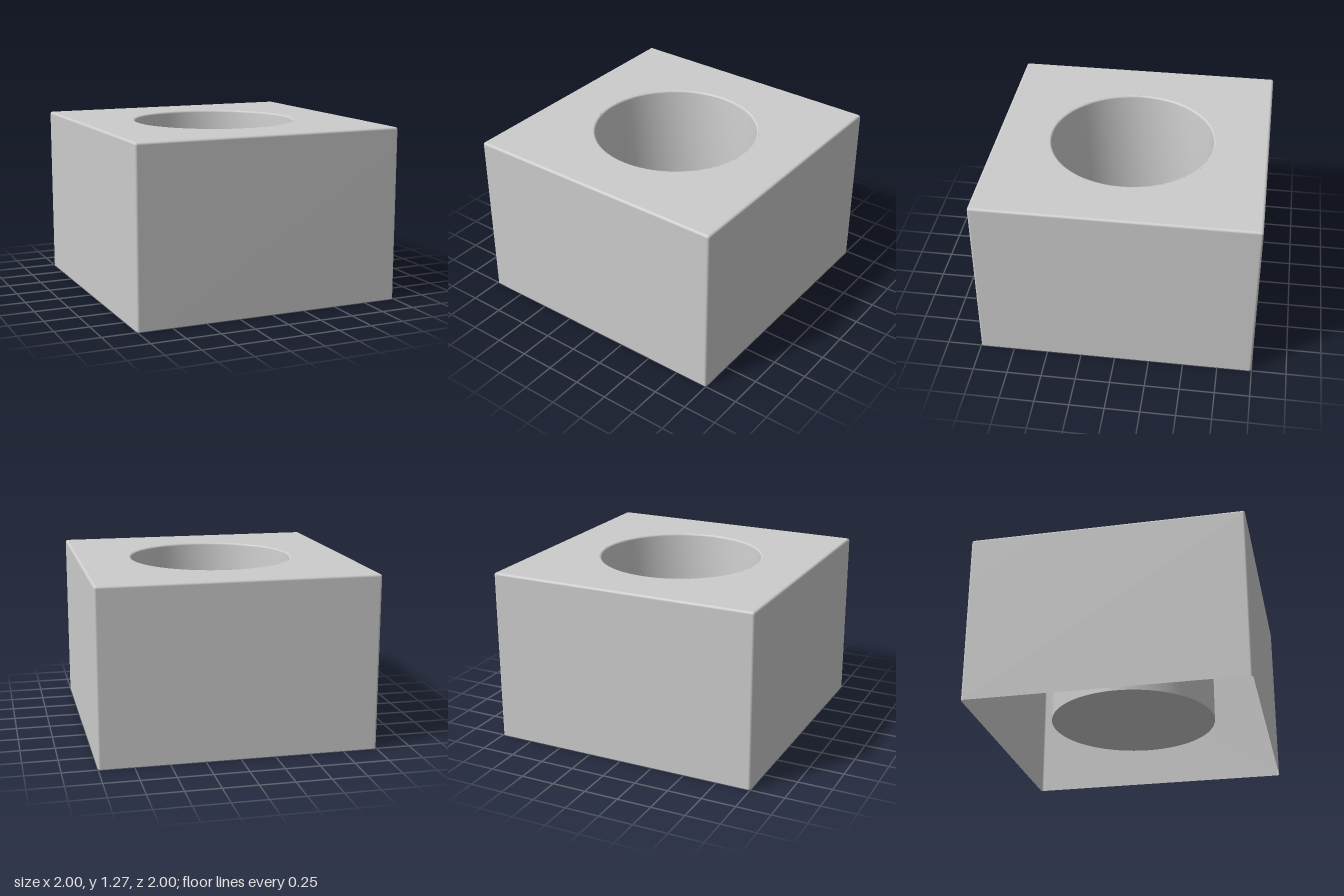
import * as THREE from 'three';
import { toCreasedNormals } from 'three/addons/utils/BufferGeometryUtils.js';

const HEIGHT = 1.27;
const ROUND = 0.018;      // edge rounding of the housing
const HOLE = 0.612;       // opening radius, also the outer radius of the cup
const INNER = 0.597;      // inner radius of the cup
const CUP_BOTTOM = 0.15;
const SEGMENTS = 64;
const STEPS = 4;          // facets per rounded edge

const material = new THREE.MeshStandardMaterial({ color: 0xcccccc, side: THREE.DoubleSide });

// Points of a square with rounded corners, inset from the full outline
function squareRing(inset, y) {
  const ring = [];
  const c = 1 - ROUND, r = ROUND - inset;
  for (let k = 0; k < 4; k++) {
    const mid = (k + 0.5) * Math.PI / 2;
    const cx = Math.sign(Math.cos(mid)) * c, cz = Math.sign(Math.sin(mid)) * c;
    for (let i = 0; i <= STEPS; i++) {
      const a = (k + i / STEPS) * Math.PI / 2;
      ring.push([cx + r * Math.cos(a), y, cz + r * Math.sin(a)]);
    }
  }
  return ring;
}

// Joins closed rings, listed from bottom to top, into one smooth surface
function loft(rings) {
  const n = rings[0].length, index = [];
  for (let j = 0; j < rings.length - 1; j++) {
    for (let i = 0; i < n; i++) {
      const a = j * n + i, b = j * n + (i + 1) % n;
      index.push(a, a + n, b, b, a + n, b + n);
    }
  }
  const geometry = new THREE.BufferGeometry();
  geometry.setAttribute('position', new THREE.Float32BufferAttribute(rings.flat(2), 3));
  geometry.setIndex(index);
  geometry.computeVertexNormals();
  return geometry;
}

function addPart(group, name, geometry) {
  const mesh = new THREE.Mesh(geometry, material);
  mesh.name = name;
  group.add(mesh);
}

export function createModel() {
  const model = new THREE.Group();
  model.name = 'cupHolderBlock';

  // Thin side walls, open below, rounding over into the top
  const rings = [squareRing(0, 0)];
  for (let i = 0; i <= STEPS; i++) {
    const a = i / STEPS * Math.PI / 2;
    rings.push(squareRing(ROUND * (1 - Math.cos(a)), HEIGHT - ROUND + ROUND * Math.sin(a)));
  }
  addPart(model, 'sideWalls', loft(rings));

  // Top plate with the round opening
  const c = 1 - ROUND;
  const plate = new THREE.Shape([[-c, -c], [c, -c], [c, c], [-c, c]].map(p => new THREE.Vector2(...p)));
  plate.holes.push(new THREE.Path().absarc(0, 0, HOLE, 0, Math.PI * 2, true));
  const top = new THREE.ShapeGeometry(plate, SEGMENTS).rotateX(-Math.PI / 2).translate(0, HEIGHT, 0);
  addPart(model, 'topPlate', top);

  // Closed cup hanging in the opening, with a softened lip
  const lip = HOLE - INNER;
  const profile = [[0, CUP_BOTTOM], [HOLE, CUP_BOTTOM], [HOLE, HEIGHT]];
  for (let i = 1; i <= STEPS; i++) {
    const a = i / STEPS * Math.PI / 2;
    profile.push([HOLE - lip * Math.sin(a), HEIGHT - lip * (1 - Math.cos(a))]);
  }
  profile.push([INNER, CUP_BOTTOM + lip], [0, CUP_BOTTOM + lip]);
  const cup = new THREE.LatheGeometry(profile.map(p => new THREE.Vector2(...p)), SEGMENTS, Math.PI / 2);
  addPart(model, 'cup', toCreasedNormals(cup, 0.6));

  return model;
}
